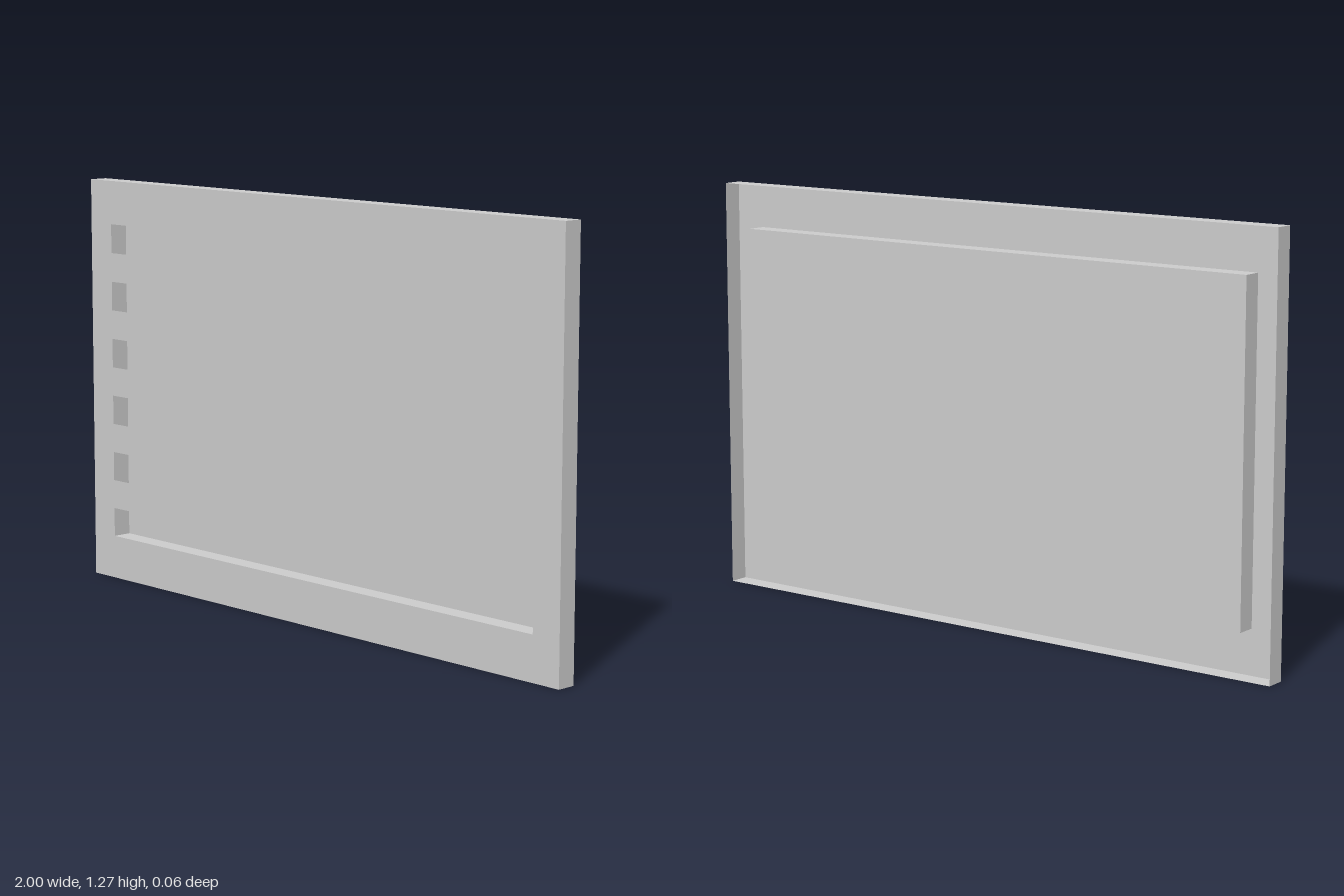
import * as THREE from 'three';

const W = 2, H = 1.275, D = 0.06;          // overall cover size
const IW = 1.804, IH = 1.002;              // inner slotted box
const SLOTS = 6;
const STEP = IH / (SLOTS * 2 - 1);         // slot and slat height

const material = new THREE.MeshStandardMaterial({ color: 0xcccccc, side: THREE.DoubleSide });

function addMesh(parent, name, geometry) {
  const mesh = new THREE.Mesh(geometry, material);
  mesh.name = name;
  parent.add(mesh);
  return mesh;
}

// Counter-clockwise rectangle corners
function corners(x0, y0, x1, y1) {
  return [[x0, y0], [x1, y0], [x1, y1], [x0, y1]].map(([x, y]) => new THREE.Vector2(x, y));
}

// Four thin sheet walls around a w x h rectangle, facing outward
function wallRing(name, w, h) {
  const ring = new THREE.Group();
  ring.name = name;
  for (const s of [1, -1]) {
    const side = s > 0 ? 'left' : 'right';
    const wall = new THREE.PlaneGeometry(D, h).rotateY(s * Math.PI / 2).translate(s * w / 2, H / 2, 0);
    addMesh(ring, `${side}Wall`, wall);
    const level = s > 0 ? 'top' : 'bottom';
    const flat = new THREE.PlaneGeometry(w, D).rotateX(-s * Math.PI / 2).translate(0, H / 2 + s * h / 2, 0);
    addMesh(ring, `${level}Wall`, flat);
  }
  return ring;
}

export function createModel() {
  const model = new THREE.Group();
  model.name = 'ventCover';

  // Thin front sheet with six horizontal slots
  const face = new THREE.Shape(corners(-W / 2, 0, W / 2, H));
  const bottom = (H - IH) / 2;
  for (let i = 0; i < SLOTS; i++) {
    const y = bottom + i * 2 * STEP;
    face.holes.push(new THREE.Path(corners(-IW / 2, y, IW / 2, y + STEP).reverse()));
  }
  addMesh(model, 'slottedFrontPanel', new THREE.ShapeGeometry(face).translate(0, 0, D / 2));

  // Folded outer rim, open at the back
  model.add(wallRing('outerRim', W, H));

  // Shallow box behind the slots, closed by a back panel
  const box = wallRing('innerBox', IW, IH);
  addMesh(box, 'backPanel', new THREE.PlaneGeometry(IW, IH).rotateY(Math.PI).translate(0, H / 2, -D / 2));
  model.add(box);

  return model;
}
